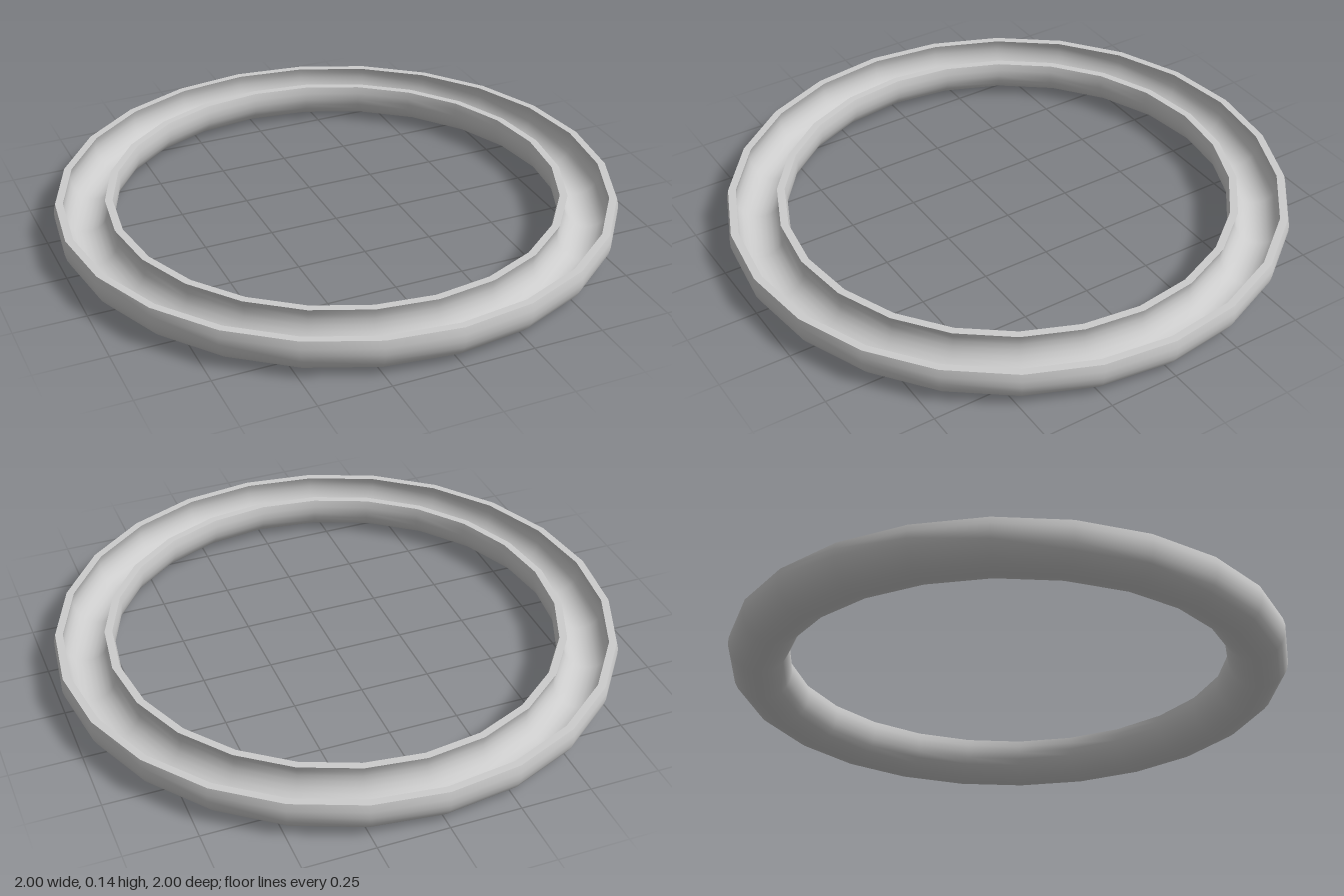
import * as THREE from 'three';

const SIDES = 24, MID_RADIUS = 0.893, MID_Y = 0.107, RIM_Y = 0.145;
const SHELL = 0.107, CHANNEL = 0.082;

// Lower arc of a circular section, cut off flat at rim height, from inner edge to outer edge
function arc(radius, steps = 16) {
  const lift = Math.asin((RIM_Y - MID_Y) / radius);
  return Array.from({ length: steps + 1 }, (_, i) => {
    const a = Math.PI - lift + (i / steps) * (Math.PI + 2 * lift);
    return new THREE.Vector2(MID_RADIUS + radius * Math.cos(a), MID_Y + radius * Math.sin(a));
  });
}

export function createModel() {
  const group = new THREE.Group();
  group.name = 'ringTrough';
  const material = new THREE.MeshStandardMaterial({ color: 0xcccccc });

  const revolve = (name, points) => {
    const mesh = new THREE.Mesh(new THREE.LatheGeometry(points, SIDES), material);
    mesh.name = name;
    group.add(mesh);
  };

  const shell = arc(SHELL);
  const channel = arc(CHANNEL).reverse();

  // Separate strips keep the rim edges sharp
  revolve('outerShell', shell);
  revolve('outerRim', [shell.at(-1), channel[0]]);
  revolve('channel', channel);
  revolve('innerRim', [channel.at(-1), shell[0]]);

  return group;
}
